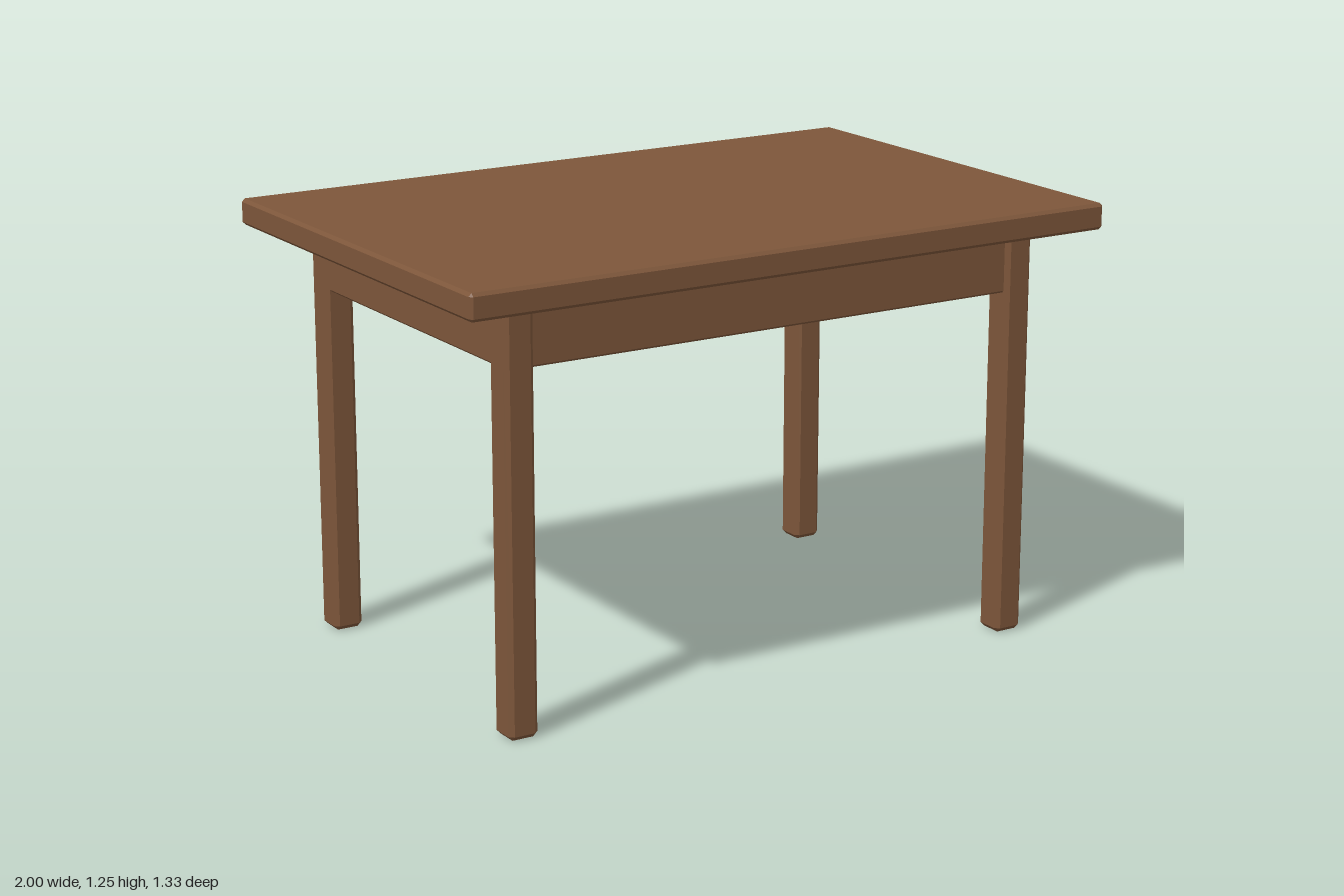
import * as THREE from 'three';
import { ConvexGeometry } from 'three/addons/geometries/ConvexGeometry.js';

// Box with every edge cut by a flat chamfer c
function chamferBox(w, h, d, c) {
  const points = [];
  for (const x of [-1, 1]) for (const y of [-1, 1]) for (const z of [-1, 1]) {
    const [a, b, e] = [w / 2, h / 2, d / 2];
    points.push(
      new THREE.Vector3(x * a, y * (b - c), z * (e - c)),
      new THREE.Vector3(x * (a - c), y * b, z * (e - c)),
      new THREE.Vector3(x * (a - c), y * (b - c), z * e)
    );
  }
  return new ConvexGeometry(points);
}

export function createModel() {
  const table = new THREE.Group();
  table.name = 'table';
  const wood = new THREE.MeshStandardMaterial({ color: 0x7d563a });
  wood.name = 'brown wood';

  const add = (name, geometry, x, y, z) => {
    const mesh = new THREE.Mesh(geometry, wood);
    mesh.name = name;
    mesh.position.set(x, y, z);
    table.add(mesh);
  };

  const legX = 0.798, legZ = 0.51, legWidth = 0.088;
  const underside = 1.177, apronHeight = 0.175, apronThickness = 0.062;

  // Table top
  add('tableTop', chamferBox(2, 0.075, 1.332, 0.009), 0, underside + 0.0375, 0);

  // Four legs
  const leg = chamferBox(legWidth, underside, legWidth, 0.013);
  for (const x of [-1, 1]) for (const z of [-1, 1]) {
    const name = (z > 0 ? 'front' : 'back') + (x > 0 ? 'Left' : 'Right') + 'Leg';
    add(name, leg, x * legX, underside / 2, z * legZ);
  }

  // Aprons run between the leg centres
  const longApron = chamferBox(2 * legX, apronHeight, apronThickness, 0.006);
  const sideApron = chamferBox(apronThickness, apronHeight, 2 * legZ, 0.006);
  const apronY = underside - apronHeight / 2;
  for (const s of [-1, 1]) {
    add(s > 0 ? 'frontApron' : 'backApron', longApron, 0, apronY, s * legZ);
    add(s > 0 ? 'leftApron' : 'rightApron', sideApron, s * legX, apronY, 0);
  }
  return table;
}
